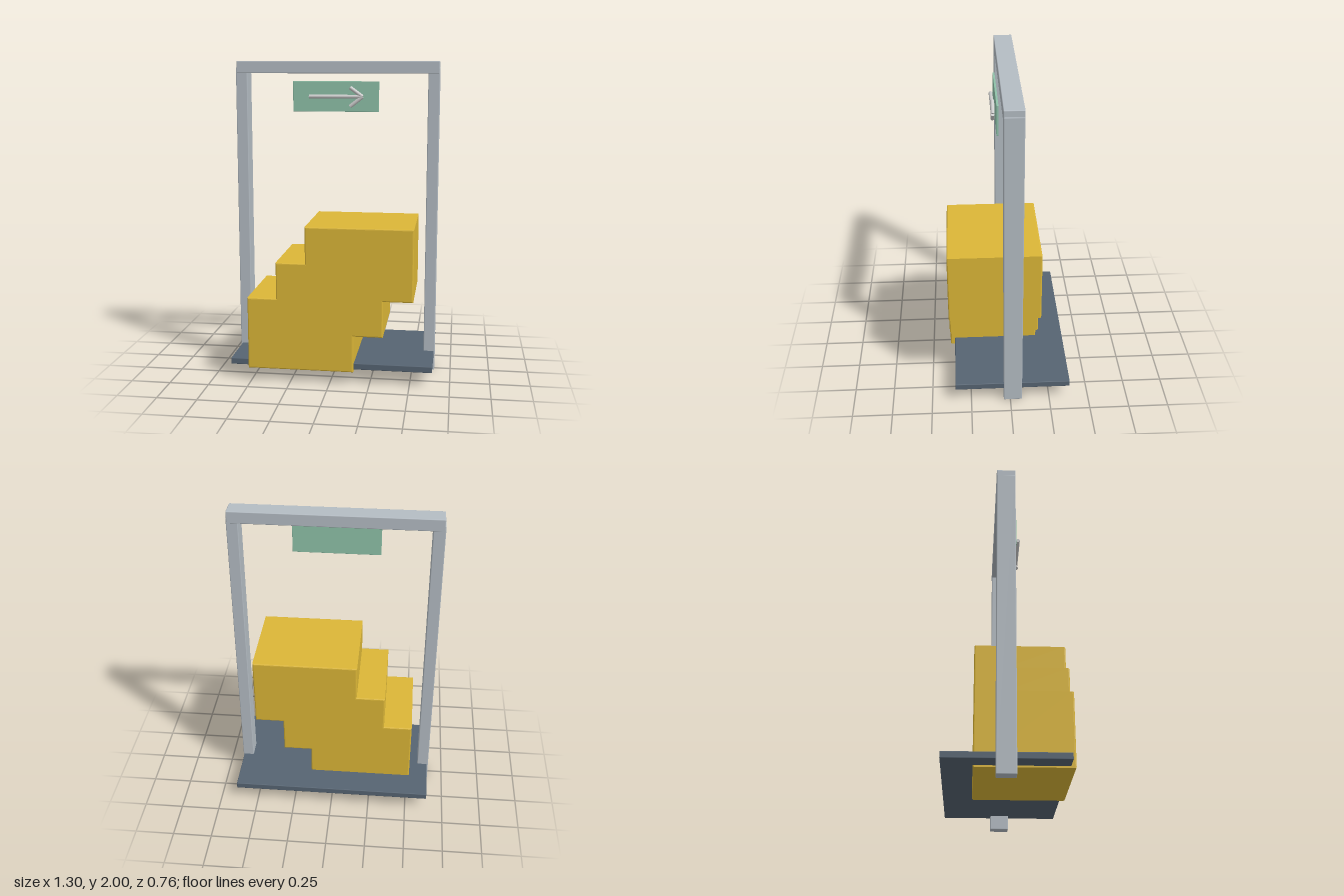
import * as THREE from 'three';
import { RoundedBoxGeometry } from 'three/addons/geometries/RoundedBoxGeometry.js';

const paint = (color) => new THREE.MeshStandardMaterial({ color });
const steel = paint(0xb4bcc3);
const slate = paint(0x566472);
const yellow = paint(0xdbb637);
const green = paint(0x8fc2a9);
const white = paint(0xe6e6e6);

export function createModel() {
  const model = new THREE.Group();

  const add = (name, geometry, material, parent = model) => {
    const mesh = new THREE.Mesh(geometry, material);
    mesh.name = name;
    parent.add(mesh);
    return mesh;
  };

  // Box given by its minimum and maximum corners, with softened edges
  const block = (name, [x0, y0, z0], [x1, y1, z1], radius, material) => {
    const geometry = new RoundedBoxGeometry(x1 - x0, y1 - y0, z1 - z0, 2, radius);
    geometry.translate((x0 + x1) / 2, (y0 + y1) / 2, (z0 + z1) / 2);
    return add(name, geometry, material);
  };

  // Floor plate
  block('floorPlate', [-0.64, 0.09, -0.38], [0.64, 0.13, 0.35], 0.004, slate);

  // Gate frame: two posts and a top beam
  block('rightPost', [-0.65, 0, -0.075], [-0.576, 1.96, 0.042], 0.005, steel);
  block('leftPost', [0.574, 0, -0.075], [0.646, 1.96, 0.042], 0.005, steel);
  block('topBeam', [-0.645, 1.923, -0.076], [0.643, 2, 0.043], 0.005, steel);

  // Stepped block: staircase outline with matching steps cut beneath, softly bevelled
  const bevel = 0.009;
  const outline = [
    [-0.52, 0.08], [0.15, 0.08], [0.15, 0.313], [0.333, 0.313], [0.333, 0.543], [0.518, 0.543],
    [0.518, 1.0], [-0.153, 1.0], [-0.153, 0.77], [-0.337, 0.77], [-0.337, 0.54], [-0.52, 0.54],
  ];
  const stairs = new THREE.ExtrudeGeometry(
    new THREE.Shape(outline.map(([x, y]) => new THREE.Vector2(x, y))),
    {
      depth: 0.58 - 2 * bevel, bevelEnabled: true, bevelThickness: bevel,
      bevelSize: bevel, bevelOffset: -bevel, bevelSegments: 3,
    },
  );
  stairs.translate(0, 0, -0.2 + bevel);
  add('steppedBlock', stairs, yellow);

  // Hanging sign panel
  block('signPanel', [-0.275, 1.685, 0.052], [0.27, 1.875, 0.065], 0.002, green);

  // Arrow of three round rods in front of the panel
  const arrow = new THREE.Group();
  arrow.name = 'arrow';
  model.add(arrow);
  const tip = [0.168, 1.78];
  const rods = [
    ['arrowShaft', [-0.17, 1.78]],
    ['arrowUpperBarb', [0.09, 1.837]],
    ['arrowLowerBarb', [0.09, 1.719]],
  ];
  for (const [name, start] of rods) {
    const a = new THREE.Vector3(...start, 0.082);
    const b = new THREE.Vector3(...tip, 0.082);
    const direction = b.clone().sub(a);
    const rod = add(name, new THREE.CylinderGeometry(0.012, 0.012, direction.length(), 16), white, arrow);
    rod.position.copy(a).add(b).multiplyScalar(0.5);
    rod.quaternion.setFromUnitVectors(new THREE.Vector3(0, 1, 0), direction.normalize());
  }

  return model;
}
